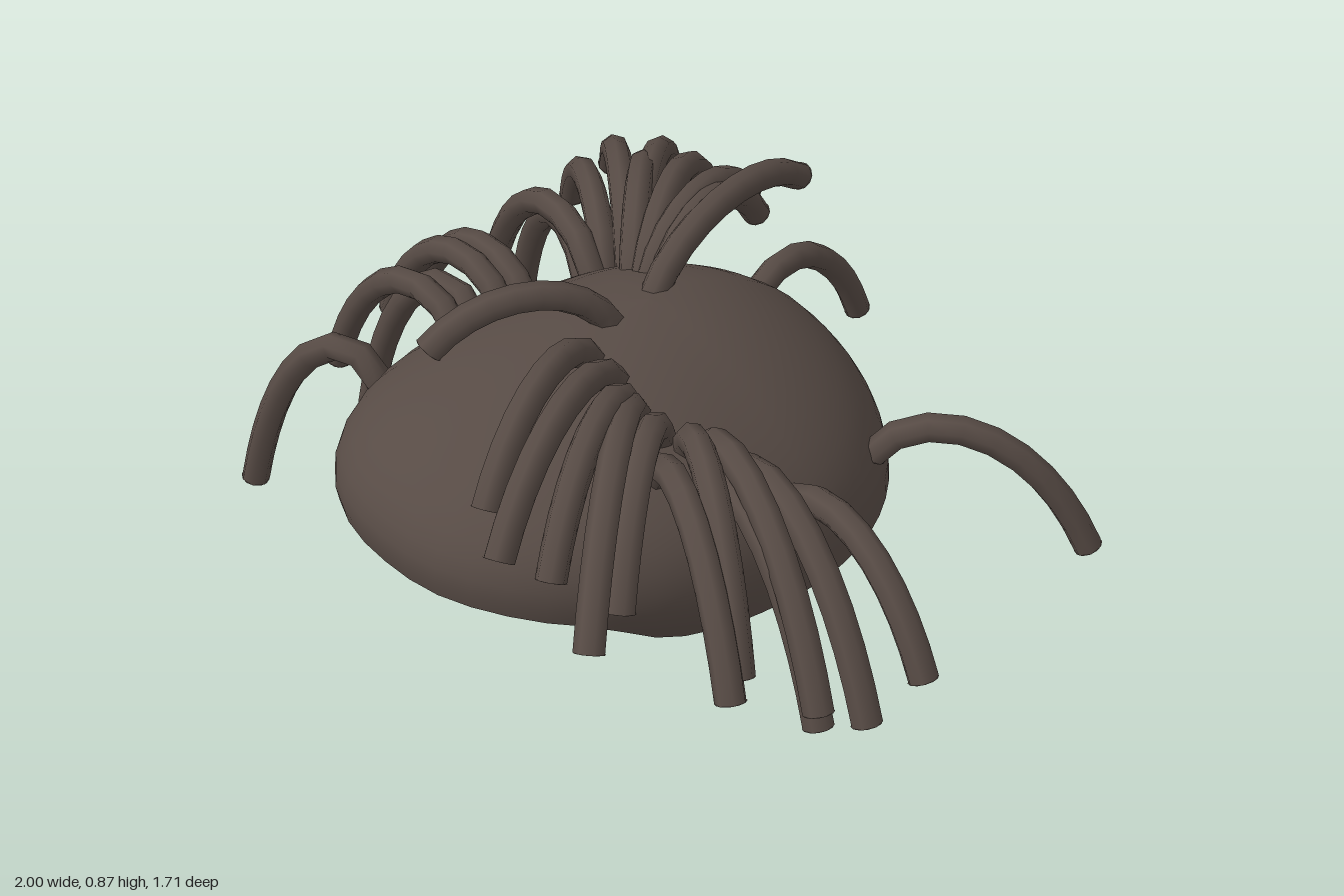
import * as THREE from 'three';
import { mergeGeometries } from 'three/addons/utils/BufferGeometryUtils.js';

const CX = 0.02, CZ = 0.1, TOP = 0.76;

// Horizontal reach of the cap in a direction: rounder behind, fuller in front
function reach(a) {
  const s = Math.abs(Math.sin(a)) / 0.54, c = Math.cos(a);
  const n = c > 0 ? 2.35 : 2;
  return Math.pow(Math.pow(s, n) + Math.pow(Math.abs(c) / (c > 0 ? 0.75 : 0.56), n), -1 / n);
}

// Height at which the cap is widest: the forehead bulges higher than the nape
function waist(a) {
  const c = Math.cos(a);
  return 0.32 + c * (c > 0 ? 0.13 : 0.06);
}

// Height of the lower edge: low at the sides, lifted over the forehead
function rimHeight(z) {
  const steps = [[-0.46, 0.3], [0.3, 0.25], [0.46, 0.255], [0.6, 0.36], [0.78, 0.4], [0.9, 0.4]];
  for (let i = 1; i < steps.length; i++) {
    const [z0, y0] = steps[i - 1], [z1, y1] = steps[i];
    if (z <= z1) return y0 + (y1 - y0) * Math.max(0, (z - z0) / (z1 - z0));
  }
  return 0.4;
}

function capGeometry() {
  const rings = 14, segs = 56, pos = [], index = [];
  for (let i = 0; i <= rings; i++) {
    for (let j = 0; j < segs; j++) {
      const a = (j / segs) * Math.PI * 2, R = reach(a), w = waist(a);
      const end = Math.acos((rimHeight(CZ + R * Math.cos(a)) - w) / (TOP - w));
      const phi = (end * i) / rings, r = R * Math.sin(phi);
      // The shoulders slope a little straighter towards the sides
      const dip = phi < Math.PI / 2 ? 0.03 * Math.abs(Math.sin(a)) * Math.sin(2 * phi) ** 2 : 0;
      pos.push(CX + r * Math.sin(a), w + (TOP - w) * Math.cos(phi) - dip, CZ + r * Math.cos(a));
      if (i < rings) {
        const k = (j + 1) % segs, p = i * segs, q = p + segs;
        if (i > 0) index.push(p + j, q + j, p + k);
        index.push(q + j, q + k, p + k);
      }
    }
  }
  const g = new THREE.BufferGeometry();
  g.setAttribute('position', new THREE.Float32BufferAttribute(pos, 3));
  g.setIndex(index);
  g.computeVertexNormals();
  return g;
}

// Approximate height of the cap's surface at a point
function surfaceY(x, z) {
  const dx = x - CX, dz = z - CZ, a = Math.atan2(dx, dz), w = waist(a);
  const t = Math.min(0.95, Math.hypot(dx, dz) / reach(a));
  return w + (TOP - w) * Math.sqrt(1 - t * t);
}

// A strand rises from the cap, arches over and droops to its tip
function strandGeometry([x0, z0, x1, z1, y1]) {
  const radius = 0.034, sides = 7;
  const y0 = surfaceY(x0, z0) - 0.03, dx = x1 - x0, dz = z1 - z0, dy = y1 - y0;
  const curve = new THREE.CubicBezierCurve3(
    new THREE.Vector3(x0, y0, z0),
    new THREE.Vector3(x0 + dx * 0.15, y0 + 0.14, z0 + dz * 0.15),
    new THREE.Vector3(x0 + dx * 0.68, y0 + 0.17 + 0.2 * dy, z0 + dz * 0.68),
    new THREE.Vector3(x1, y1, z1));
  const parts = [new THREE.TubeGeometry(curve, 9, radius, sides)];
  for (const t of [0, 1]) {
    const end = curve.getPoint(t), out = curve.getTangent(t).multiplyScalar(t ? 1 : -1);
    const cap = new THREE.CircleGeometry(radius, 12);
    cap.applyQuaternion(new THREE.Quaternion().setFromUnitVectors(new THREE.Vector3(0, 0, 1), out));
    parts.push(cap.translate(end.x, end.y, end.z));
  }
  return mergeGeometries(parts);
}

// Each strand: root x, root z, tip x, tip z, tip y
const strands = {
  looseStrand: [
    [0.43, -0.21, 0.78, -0.57, 0.18], [-0.19, -0.38, -0.27, -0.83, 0.19],
    [-0.43, 0.53, -0.78, 0.68, 0.09], [0.51, 0.13, 0.97, 0.15, 0.31]],
  rightSideStrand: [
    [-0.46, 0.08, -0.95, 0.06, 0.27], [-0.46, 0.15, -0.97, 0.13, 0.25],
    [-0.47, 0.22, -0.93, 0.24, 0.02], [-0.47, 0.28, -0.97, 0.3, 0.17]],
  backRightStrand: [
    [-0.3, 0.01, -0.89, -0.13, 0.3], [-0.4, -0.05, -0.93, -0.26, 0.19],
    [-0.3, -0.03, -0.82, -0.34, 0.47], [-0.25, -0.06, -0.81, -0.46, 0.52],
    [-0.42, -0.2, -0.8, -0.45, 0.21], [-0.18, -0.02, -0.62, -0.49, 0.6]],
  crownStrand: [
    [-0.16, 0, -0.53, -0.35, 0.66], [-0.12, 0, -0.46, -0.47, 0.63],
    [-0.1, 0, -0.26, -0.44, 0.7], [-0.01, 0.07, -0.17, -0.52, 0.75],
    [-0.05, 0.01, -0.22, -0.43, 0.66]],
  frontLeftStrand: [
    [0.02, 0.2, -0.12, 0.6, 0.77], [0.08, 0.31, 0.29, 0.76, 0.66],
    [0.16, 0.31, 0.41, 0.82, 0.63], [0.23, 0.33, 0.49, 0.75, 0.59],
    [0.25, 0.33, 0.65, 0.78, 0.52], [0.32, 0.32, 0.6, 0.66, 0.53],
    [0.38, 0.38, 0.84, 0.57, 0.4], [0.36, 0.28, 0.82, 0.53, 0.43],
    [0.38, 0.25, 0.93, 0.41, 0.34], [0.44, 0.22, 0.97, 0.31, 0.28],
    [0.44, 0.3, 0.92, 0.4, 0.29]],
};

export function createModel() {
  const model = new THREE.Group();
  model.name = 'hairpiece';
  const hair = new THREE.MeshStandardMaterial({ color: 0x574b45 });
  hair.name = 'dark brown hair';
  hair.side = THREE.DoubleSide;

  const cap = new THREE.Mesh(capGeometry(), hair);
  cap.name = 'hairCap';
  model.add(cap);

  for (const [name, list] of Object.entries(strands)) {
    list.forEach((s, i) => {
      const mesh = new THREE.Mesh(strandGeometry(s), hair);
      mesh.name = `${name}${i + 1}`;
      model.add(mesh);
    });
  }
  return model;
}
